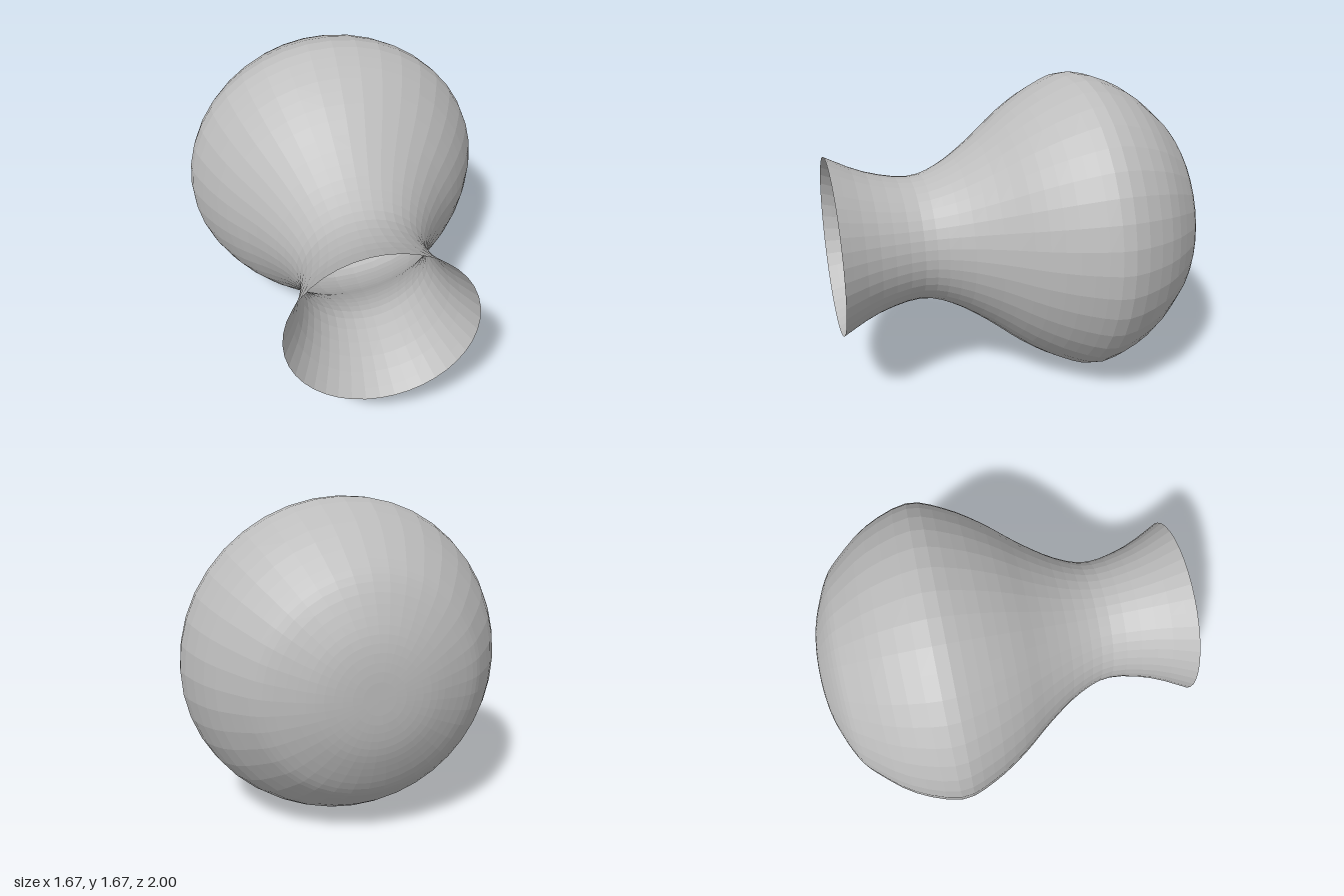
import * as THREE from 'three';

export function createModel() {
  const model = new THREE.Group();
  model.name = 'vase';

  const gray = new THREE.MeshStandardMaterial({ color: 0xbcbcbc, side: THREE.DoubleSide, flatShading: true });
  gray.name = 'clay gray';

  // Profile from the closed base to the open flared rim: [radius, distance along axis]
  const profile = [
    [0, -1], [0.13, -0.997], [0.26, -0.978], [0.38, -0.938], [0.52, -0.87],
    [0.61, -0.79], [0.75, -0.61], [0.833, -0.37], [0.775, -0.18], [0.66, 0.01],
    [0.51, 0.2], [0.388, 0.39], [0.335, 0.57], [0.382, 0.8], [0.478, 1],
  ].map(([r, d]) => new THREE.Vector2(r, d));
  const points = new THREE.SplineCurve(profile).getPoints(42);
  points[0].x = 0;

  // Thin-walled shell lying on its side, mouth to the front
  const shell = new THREE.LatheGeometry(points, 40);
  shell.rotateX(Math.PI / 2);
  const body = new THREE.Mesh(shell, gray);
  body.name = 'vaseShell';
  body.position.y = 0.835;
  model.add(body);

  return model;
}
